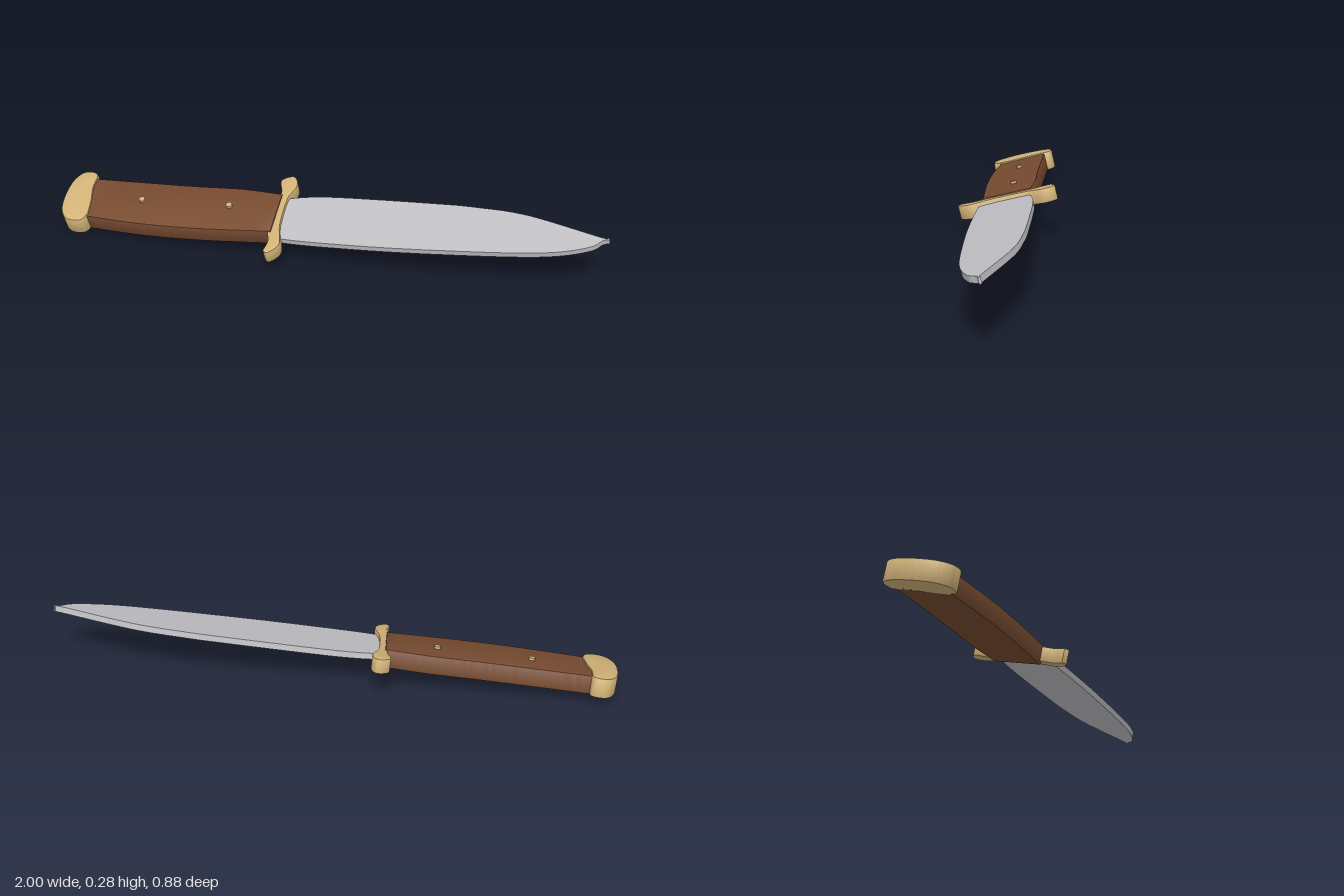
import * as THREE from 'three';
import { toCreasedNormals } from 'three/addons/utils/BufferGeometryUtils.js';

const TILT = 0.263;
const COS = Math.cos(TILT);

const steel = new THREE.MeshStandardMaterial({ color: 0xc0c0c4 });
steel.name = 'steel';
const wood = new THREE.MeshStandardMaterial({ color: 0x774b30 });
wood.name = 'wood';
const brass = new THREE.MeshStandardMaterial({ color: 0xd2b378 });
brass.name = 'brass';

// Outline from smooth runs of [x, z] plan points; runs meet at sharp corners
function outline(...runs) {
  const shape = new THREE.Shape();
  runs.forEach((run, i) => {
    const pts = run.map(([x, z]) => new THREE.Vector2(x, -z / COS));
    if (i === 0) shape.moveTo(pts[0].x, pts[0].y);
    else shape.lineTo(pts[0].x, pts[0].y);
    if (pts.length > 2) shape.splineThru(pts.slice(1));
    else shape.lineTo(pts[1].x, pts[1].y);
  });
  return shape;
}

// Flat slab of the given thickness, centred on the knife's own plane
function slab(name, shape, thickness, bevel, material, lift = 0) {
  let geo = new THREE.ExtrudeGeometry(shape, {
    depth: thickness - 2 * bevel,
    bevelEnabled: bevel > 0,
    bevelThickness: bevel,
    bevelSize: bevel,
    bevelOffset: -bevel,
    bevelSegments: 2,
    curveSegments: 28,
  });
  geo.translate(0, 0, -thickness / 2 + bevel);
  geo.rotateX(-Math.PI / 2);
  geo = toCreasedNormals(geo, 0.5);
  const mesh = new THREE.Mesh(geo, material);
  mesh.name = name;
  mesh.position.y = lift;
  return mesh;
}

export function createModel() {
  const model = new THREE.Group();
  model.name = 'knife';
  const knife = new THREE.Group();
  knife.name = 'tiltedKnife';
  knife.rotation.x = TILT;
  knife.position.y = 0.155;
  model.add(knife);

  // Blade: cutting edge, then spine back to the guard
  knife.add(slab('blade', outline(
    [[-0.13, 0.11], [-0.08, 0.105], [0.085, 0.045], [0.355, -0.065], [0.7, -0.22],
      [0.86, -0.305], [0.955, -0.38], [0.98, -0.425], [1.0, -0.44]],
    [[0.99, -0.445], [0.97, -0.436], [0.675, -0.405], [0.485, -0.352], [0.355, -0.305],
      [0.03, -0.175], [-0.1, -0.115], [-0.19, -0.06]],
  ), 0.024, 0, steel));

  // Handle
  knife.add(slab('handle', outline(
    [[-0.84, 0.38], [-0.62, 0.312], [-0.4, 0.228], [-0.13, 0.108]],
    [[-0.13, 0.108], [-0.2, -0.062]],
    [[-0.2, -0.062], [-0.36, -0.012], [-0.55, 0.066], [-0.93, 0.212]],
  ), 0.073, 0.004, wood, -0.003));

  // S-curved guard
  knife.add(slab('guard', outline(
    [[-0.105, 0.19], [-0.085, 0.195], [-0.068, 0.165], [-0.07, 0.13], [-0.115, 0.07],
      [-0.145, 0.01], [-0.172, -0.06], [-0.174, -0.115], [-0.19, -0.145], [-0.215, -0.158],
      [-0.24, -0.14], [-0.247, -0.113], [-0.215, -0.075], [-0.2, -0.03], [-0.178, 0.04],
      [-0.152, 0.1], [-0.115, 0.145], [-0.105, 0.19]],
  ), 0.057, 0.003, brass));

  // Pommel cap
  knife.add(slab('pommel', outline(
    [[-0.92, 0.205], [-0.9, 0.255], [-0.865, 0.305], [-0.83, 0.365]],
    [[-0.83, 0.365], [-0.832, 0.4], [-0.858, 0.42], [-0.9, 0.425], [-0.945, 0.395],
      [-0.98, 0.335], [-1.0, 0.265], [-0.993, 0.215], [-0.965, 0.193], [-0.935, 0.19], [-0.92, 0.205]],
  ), 0.08, 0.008, brass));

  // Rivets on the upper face
  for (const [x, z] of [[-0.68, 0.213], [-0.35, 0.08]]) {
    const rivet = new THREE.Mesh(new THREE.CylinderGeometry(0.012, 0.012, 0.02, 20), brass);
    rivet.name = 'rivet';
    rivet.position.set(x, 0.033, z / COS);
    knife.add(rivet);
  }
  return model;
}
